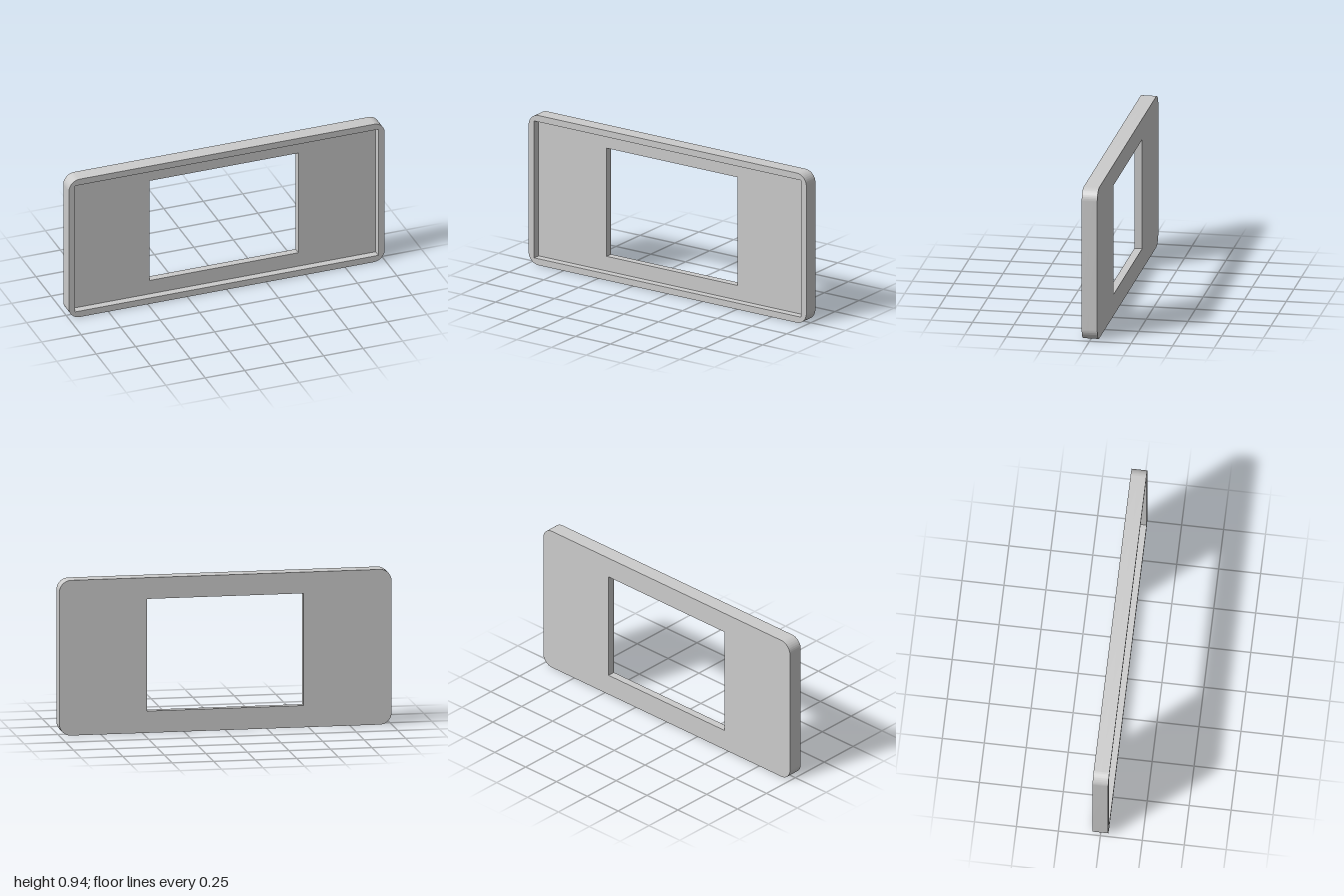
import * as THREE from 'three';
import { toCreasedNormals } from 'three/addons/utils/BufferGeometryUtils.js';

const W = 2, H = 0.935, D = 0.0935; // overall size
const FLOOR = D / 2;                // thickness of the back panel
const RADIUS = 0.07, RIM = 0.04;

// Rounded outer outline, standing on y = 0
function outline() {
  const x = W / 2, r = RADIUS, s = new THREE.Shape();
  s.absarc(x - r, r, r, -Math.PI / 2, 0);
  s.absarc(x - r, H - r, r, 0, Math.PI / 2);
  s.absarc(-x + r, H - r, r, Math.PI / 2, Math.PI);
  s.absarc(-x + r, r, r, Math.PI, Math.PI * 1.5);
  s.closePath();
  return s;
}

// Sharp-cornered rectangular opening
function opening(x0, y0, x1, y1) {
  const p = new THREE.Path();
  p.moveTo(x0, y0).lineTo(x0, y1).lineTo(x1, y1).lineTo(x1, y0).closePath();
  return p;
}

// Plate with the rounded outline and one opening
function plate(name, hole, z, depth, material) {
  const shape = outline();
  shape.holes.push(hole);
  const geo = new THREE.ExtrudeGeometry(shape, { depth, bevelEnabled: false, curveSegments: 16 });
  const mesh = new THREE.Mesh(toCreasedNormals(geo, Math.PI / 6), material);
  mesh.name = name;
  mesh.position.z = z;
  return mesh;
}

export function createModel() {
  const group = new THREE.Group();
  group.name = 'windowBezel';
  const material = new THREE.MeshStandardMaterial({ color: 0xcccccc });

  // Back panel with the display window
  group.add(plate('backPanel', opening(-0.471, 0.131, 0.471, 0.807), -D / 2, FLOOR, material));

  // Raised rim around the front recess
  const rimHole = opening(-W / 2 + RIM, RIM, W / 2 - RIM, H - RIM);
  group.add(plate('rim', rimHole, -D / 2 + FLOOR, D - FLOOR, material));

  return group;
}
